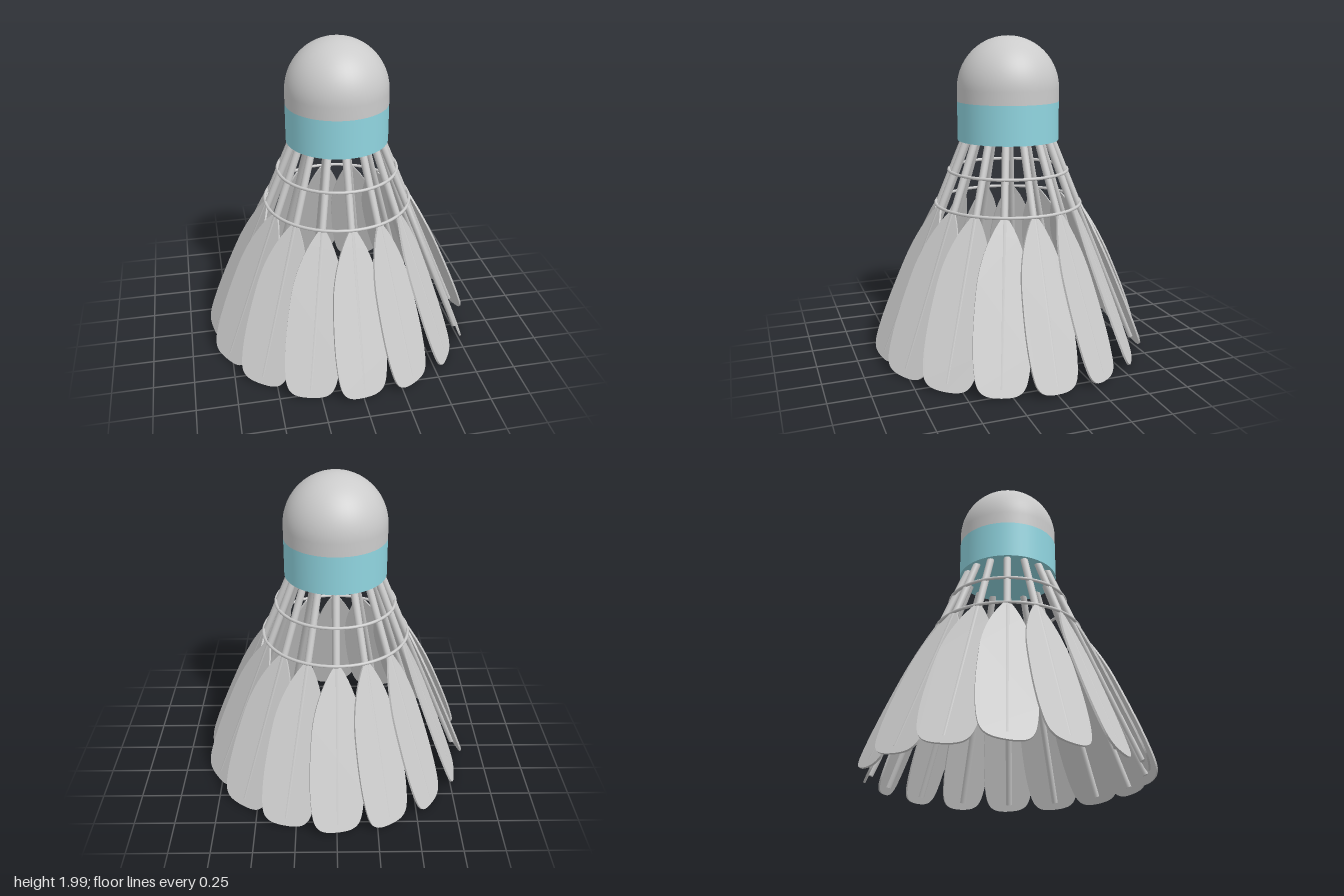
import * as THREE from 'three';

const COUNT = 16;          // feathers around the skirt
const SLOPE = 0.41;        // outward spread per unit of height
const BASE_R = 0.834;      // shaft radius from the axis at ground level
const TILT = Math.atan(SLOPE);
const TWIST = 0.25;        // each vane turns about its shaft so neighbours overlap

const grey = new THREE.MeshStandardMaterial({ color: 0xcccccc });
const blue = new THREE.MeshStandardMaterial({ color: 0x90d5e0 });

function add(parent, name, geometry, material = grey) {
  const mesh = new THREE.Mesh(geometry, material);
  mesh.name = name;
  parent.add(mesh);
  return mesh;
}

// Thin vane: pointed at the top, broad and rounded at the bottom
function vaneGeometry() {
  const s = new THREE.Shape();
  s.moveTo(0, 0.008);
  s.bezierCurveTo(0.1, 0.008, 0.135, 0.03, 0.152, 0.1);
  s.bezierCurveTo(0.178, 0.22, 0.174, 0.42, 0.158, 0.62);
  s.bezierCurveTo(0.145, 0.78, 0.085, 0.93, 0.025, 1.02);
  s.lineTo(-0.025, 1.02);
  s.bezierCurveTo(-0.085, 0.93, -0.145, 0.78, -0.158, 0.62);
  s.bezierCurveTo(-0.174, 0.42, -0.178, 0.22, -0.152, 0.1);
  s.bezierCurveTo(-0.135, 0.03, -0.1, 0.008, 0, 0.008);
  const g = new THREE.ExtrudeGeometry(s, { depth: 0.012, bevelEnabled: false, curveSegments: 12 });
  return g.translate(0, 0, 0.007);
}

export function createModel() {
  const model = new THREE.Group();
  model.name = 'shuttlecock';

  // Cork: short wall rising into a round dome
  const profile = [new THREE.Vector2(0.317, 1.6)];
  for (let i = 0; i <= 20; i++) {
    const a = (i / 20) * Math.PI / 2;
    profile.push(new THREE.Vector2(Math.max(0.317 * Math.cos(a), 0), 1.68 + 0.32 * Math.sin(a)));
  }
  add(model, 'corkDome', new THREE.LatheGeometry(profile, 48));

  // Coloured band, closed underneath
  add(model, 'corkBand', new THREE.CylinderGeometry(0.317, 0.317, 0.24, 48), blue).position.y = 1.48;

  // Feathers: shaft and vane share a frame whose y axis runs up the shaft
  const s0 = 0.055, s1 = 1.51;
  const shaftGeo = new THREE.CylinderGeometry(0.023, 0.02, s1 - s0, 12).translate(0, (s0 + s1) / 2, 0);
  const vaneGeo = vaneGeometry();
  for (let i = 0; i < COUNT; i++) {
    const spoke = new THREE.Group();
    spoke.name = 'feather' + (i + 1);
    spoke.rotation.y = (i / COUNT) * Math.PI * 2;
    const frame = new THREE.Group();
    frame.name = 'featherFrame';
    frame.position.z = BASE_R;
    frame.rotation.x = -TILT;
    add(frame, 'shaft', shaftGeo);
    add(frame, 'vane', vaneGeo).rotation.y = TWIST;
    spoke.add(frame);
    model.add(spoke);
  }

  // Two binding threads around the outside of the shafts
  for (const [name, y] of [['upperThread', 1.17], ['lowerThread', 0.96]]) {
    const ring = add(model, name, new THREE.TorusGeometry(BASE_R - SLOPE * y + 0.021, 0.01, 8, 64));
    ring.rotation.x = Math.PI / 2;
    ring.position.y = y;
  }

  return model;
}
